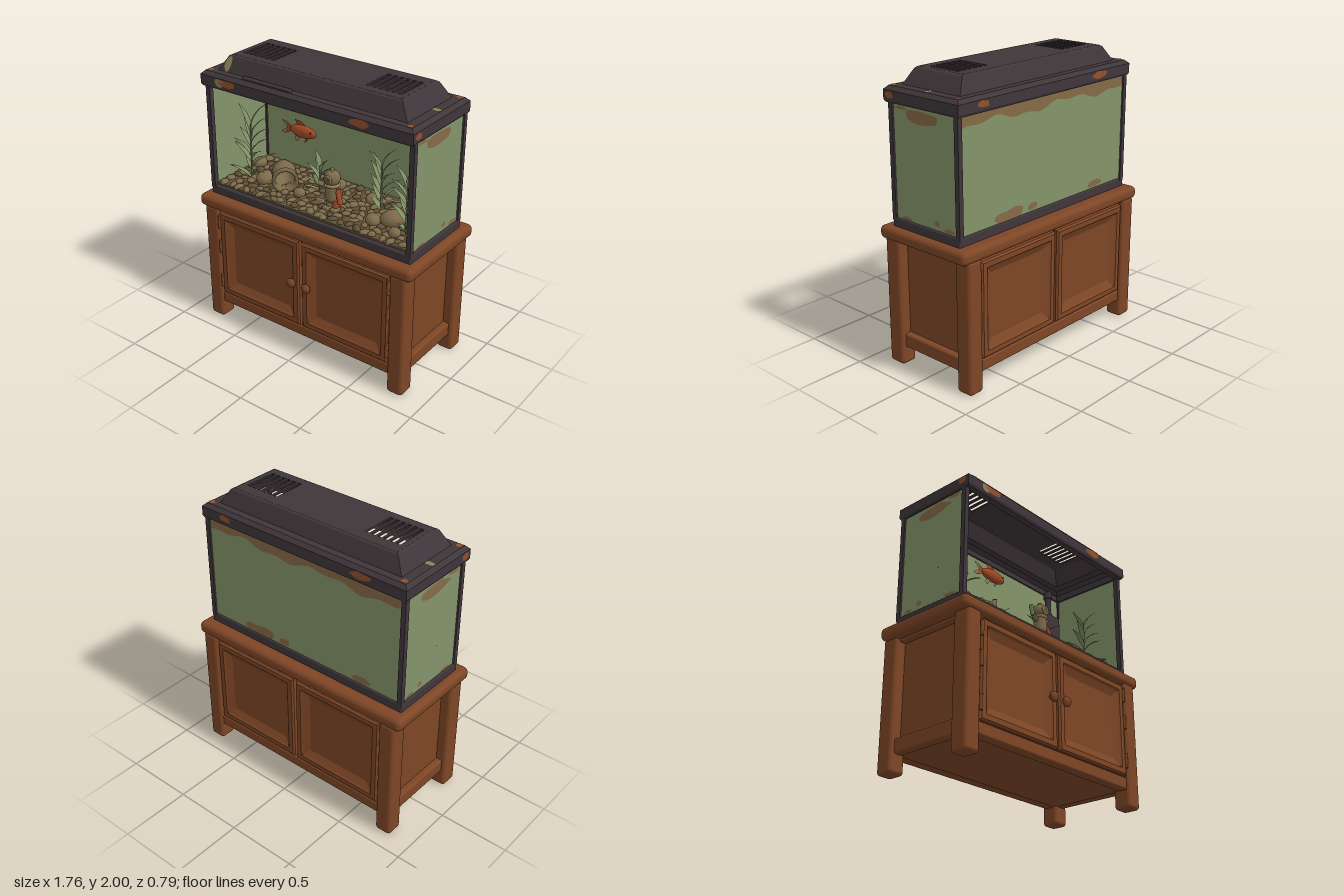
import * as THREE from 'three';
import { mergeGeometries } from 'three/addons/utils/BufferGeometryUtils.js';
import { RoundedBoxGeometry } from 'three/addons/geometries/RoundedBoxGeometry.js';

const mat = (name, color, side = THREE.FrontSide) => {
  const m = new THREE.MeshStandardMaterial({ color, side });
  m.name = name;
  return m;
};
let seed = 7;
const rnd = (a = 0, b = 1) => {
  seed = (seed * 16807) % 2147483647;
  return a + (b - a) * seed / 2147483647;
};

// Surface through rectangular rings [halfWidth, halfHeight, z], flat shaded
function rectLoft(rings, cap) {
  const p = [];
  const corner = ([w, h, z], j) => [[-w, -h, z], [w, -h, z], [w, h, z], [-w, h, z]][j % 4];
  const quad = (a, b, c, d) => p.push(...a, ...b, ...c, ...a, ...c, ...d);
  for (let i = 0; i + 1 < rings.length; i++)
    for (let j = 0; j < 4; j++)
      quad(corner(rings[i], j), corner(rings[i], j + 1), corner(rings[i + 1], j + 1), corner(rings[i + 1], j));
  if (cap) quad(...[0, 1, 2, 3].map(j => corner(rings[rings.length - 1], j)));
  const g = new THREE.BufferGeometry();
  g.setAttribute('position', new THREE.Float32BufferAttribute(p, 3));
  g.computeVertexNormals();
  return g;
}

// Irregular flat patch
function blob(w, h) {
  const pts = [];
  for (let i = 0; i < 10; i++) {
    const a = i / 10 * Math.PI * 2, r = rnd(0.75, 1.1);
    pts.push(new THREE.Vector2(Math.cos(a) * r * w / 2, Math.sin(a) * r * h / 2));
  }
  return new THREE.ShapeGeometry(new THREE.Shape(new THREE.SplineCurve([...pts, pts[0]]).getPoints(30)));
}

// Pointed leaf growing along +y and drooping towards +z
function leafGeometry(len, width, droop) {
  const g = new THREE.PlaneGeometry(1, 1, 2, 7).translate(0, 0.5, 0);
  const p = g.attributes.position;
  for (let i = 0; i < p.count; i++) {
    const t = p.getY(i), x = p.getX(i) * width * (0.1 + Math.sin(Math.PI * Math.pow(t, 0.8)));
    p.setXYZ(i, x, t * len * (1 - 0.25 * droop * t), droop * len * t * t - Math.abs(x) * 0.3);
  }
  g.computeVertexNormals();
  return g;
}

export function createModel() {
  const wood = mat('wood', 0x7e4626);
  const plastic = mat('dark plastic', 0x3f363a, THREE.DoubleSide);
  const glass = mat('algae green glass', 0x84946a, THREE.DoubleSide);
  const leafMat = mat('leaf green', 0x7c8c62, THREE.DoubleSide);
  const gravel = mat('gravel', 0x5f5138);
  const stone = mat('stone', 0x7d6b4a, THREE.DoubleSide);
  const rust = mat('rust', 0x95502a);
  const tan = mat('worn tan', 0x8f8058, THREE.DoubleSide);
  const stain = mat('brown stain', 0x866a48);
  const orange = mat('fish orange', 0xa24a24, THREE.DoubleSide);

  const root = new THREE.Group();
  const add = (name, geo, m, x = 0, y = 0, z = 0, parent = root) => {
    const o = new THREE.Mesh(geo, m);
    o.name = name;
    o.position.set(x, y, z);
    parent.add(o);
    return o;
  };
  const group = (name, x, y, z, parent = root) => {
    const g = new THREE.Group();
    g.name = name;
    g.position.set(x, y, z);
    parent.add(g);
    return g;
  };
  // Rounded box given by its limits
  const block = (name, m, x0, x1, y0, y1, z0, z1, r = 0.015) =>
    add(name, new RoundedBoxGeometry(x1 - x0, y1 - y0, z1 - z0, 3, r), m, (x0 + x1) / 2, (y0 + y1) / 2, (z0 + z1) / 2);

  // Cabinet
  block('cabinetTop', wood, -0.88, 0.88, 0.89, 0.98, -0.39, 0.38, 0.035);
  block('cabinetBody', wood, -0.765, 0.765, 0.13, 0.9, -0.34, 0.325);
  for (const s of [-1, 1]) {
    const [a, b] = s < 0 ? [-0.84, -0.72] : [0.72, 0.84];
    block('frontLeg', wood, a, b, 0, 0.91, 0.24, 0.37, 0.025);
    block('backLeg', wood, a, b, 0, 0.91, -0.39, -0.265, 0.025);
    const [c, d] = s < 0 ? [-0.81, -0.74] : [0.74, 0.81];
    block('sideRail', wood, c, d, 0.125, 0.225, -0.3, 0.28);
    block('sideTopRail', wood, c, d, 0.87, 0.9, -0.3, 0.28, 0.01);
  }
  block('frontRail', wood, -0.75, 0.75, 0.125, 0.21, 0.27, 0.35);
  block('backRail', wood, -0.75, 0.75, 0.125, 0.21, -0.37, -0.29);

  // Doors with recessed panels, front and back
  const door = rectLoft([[0.352, 0.332, 0], [0.352, 0.332, 0.025], [0.34, 0.32, 0.038],
    [0.305, 0.285, 0.038], [0.292, 0.272, 0.028], [0.245, 0.225, 0.006]], true);
  for (const s of [-1, 1]) {
    add('frontDoor', door, wood, s * 0.362, 0.545, 0.325);
    add('backPanel', door, wood, s * 0.362, 0.545, -0.34).rotation.y = Math.PI;
    const knob = new THREE.LatheGeometry([[0, -0.03], [0.016, -0.03], [0.016, 0], [0.032, 0.008], [0.035, 0.02],
      [0.024, 0.035], [0, 0.04]].map(q => new THREE.Vector2(...q)), 20);
    add('knob', knob, wood, s * 0.063, 0.55, 0.362).rotation.x = Math.PI / 2;
    for (const y of [0.32, 0.6, 0.8])
      add('hinge', new THREE.CylinderGeometry(0.012, 0.012, 0.1, 10), wood, s * 0.712, y, 0.362);
  }

  // Tank frame and walls, open towards the front
  block('tankBase', plastic, -0.825, 0.825, 0.97, 1.04, -0.3, 0.3, 0.01);
  for (const x of [-0.807, 0.807]) {
    for (const z of [-0.285, 0.285])
      add('cornerPost', new THREE.BoxGeometry(0.034, 0.78, 0.034), plastic, x, 1.41, z);
    add('sideGlass', new THREE.BoxGeometry(0.01, 0.77, 0.55), glass, x, 1.41, 0);
  }
  add('backGlass', new THREE.BoxGeometry(1.6, 0.77, 0.01), glass, 0, 1.41, -0.285);

  // Hollow lid with raised hood and two slotted vents
  const lid = rectLoft([[0.785, 0.275, 1.785], [0.822, 0.317, 1.785], [0.832, 0.325, 1.8], [0.832, 0.325, 1.865],
    [0.805, 0.3, 1.89], [0.74, 0.25, 1.89], [0.675, 0.205, 1.99], [0.655, 0.19, 2]]);
  add('lid', lid, plastic, 0, 0, 0.01).rotation.x = -Math.PI / 2;
  const rect = (C, x0, x1, y0, y1) => new C([[x0, y0], [x1, y0], [x1, y1], [x0, y1]].map(q => new THREE.Vector2(...q)));
  const topShape = rect(THREE.Shape, -0.656, 0.656, -0.191, 0.191);
  for (const x0 of [-0.62, 0.36])
    for (let i = 0; i < 6; i++)
      topShape.holes.push(rect(THREE.Path, x0 + i * 0.046, x0 + i * 0.046 + 0.029, -0.13, 0.11));
  add('ventedTop', new THREE.ExtrudeGeometry(topShape, { depth: 0.012, bevelEnabled: false }), plastic, 0, 1.988, 0.01)
    .rotation.x = -Math.PI / 2;
  block('lidLip', plastic, -0.5, -0.1, 1.885, 1.905, 0.27, 0.3, 0.008);

  // Worn patches on the lid
  const patch = (name, m, w, h, x, y, z, rx = 0, ry = 0, rz = 0) =>
    add(name, blob(w, h), m, x, y, z).rotation.set(rx, ry, rz);
  const up = -Math.PI / 2;
  patch('rustPatch', rust, 0.16, 0.05, -0.6, 1.84, 0.338);
  patch('rustPatch', rust, 0.15, 0.06, 0.45, 1.838, 0.338);
  patch('tanPatch', tan, 0.07, 0.06, -0.67, 1.835, 0.338);
  patch('tanPatch', tan, 0.06, 0.11, -0.665, 1.942, 0.241, -0.42, 0, -0.2);
  for (const sx of [-1, 1]) {
    for (const z of [-0.265, 0.285]) patch('cornerRust', rust, 0.05, 0.04, sx * 0.78, 1.893, z, up);
    patch('tanPatch', tan, 0.07, 0.04, sx * 0.772, 1.893, -0.01, up);
    patch('rustPatch', rust, 0.07, 0.05, sx * 0.835, 1.835, 0.28, 0, sx * Math.PI / 2);
  }
  patch('rustPatch', rust, 0.16, 0.055, -0.5, 1.838, -0.318, 0, Math.PI);
  patch('rustPatch', rust, 0.1, 0.05, 0.62, 1.838, -0.318, 0, Math.PI);

  // Stains on the outside of the glass
  const band = new THREE.Shape();
  band.moveTo(-0.78, 1.785);
  for (let i = 0; i <= 40; i++) {
    const x = -0.78 + i * 0.039;
    band.lineTo(x, 1.715 + 0.018 * Math.sin(x * 9) + 0.012 * Math.sin(x * 23));
  }
  band.lineTo(0.78, 1.785);
  add('backStainBand', new THREE.ShapeGeometry(band), stain, 0, 0, -0.293).rotation.y = Math.PI;
  for (const [x, w, h] of [[0.36, 0.28, 0.08], [0.15, 0.1, 0.05], [-0.5, 0.16, 0.05]])
    patch('backStain', stain, w, h, x, 1.075, -0.293, 0, Math.PI);
  for (const s of [-1, 1])
    for (const [z, y, w, h] of [[0.01, 1.73, 0.31, 0.09], [0.2, 1.765, 0.12, 0.025], [-0.1, 1.085, 0.05, 0.04], [0.17, 1.055, 0.1, 0.025], [-0.2, 1.06, 0.09, 0.03]])
      patch('sideStain', stain, w, h, s * 0.815, y, z, 0, s * Math.PI / 2);

  // Gravel bed with scattered stones
  add('gravelBed', new THREE.BoxGeometry(1.59, 0.03, 0.55), gravel, 0, 1.04, 0);
  const pebbles = [[], []];
  const pebble = (x, y, z, sx, sy, sz, k) => pebbles[k].push(new THREE.IcosahedronGeometry(1, 1)
    .scale(sx, sy, sz).rotateY(rnd(0, 3)).rotateZ(rnd(-0.15, 0.15)).translate(x, y, z));
  for (let i = 0; i < 25; i++)
    for (let j = 0; j < 9; j++)
      pebble(-0.75 + i * 0.0625 + rnd(-0.02, 0.02), 1.055, -0.23 + j * 0.058 + rnd(-0.015, 0.015),
        rnd(0.025, 0.045), rnd(0.012, 0.026), rnd(0.02, 0.035), rnd() < 0.25 ? 0 : 1);
  for (const [x, z, r] of [[-0.52, 0.08, 0.075], [-0.72, -0.1, 0.06], [-0.2, 0.1, 0.05], [0.53, 0.05, 0.09], [0.42, 0.12, 0.06],
    [0.7, -0.1, 0.07], [-0.05, -0.15, 0.06], [0.25, -0.12, 0.055], [0.62, 0.17, 0.05]])
    pebble(x, 1.06 + r * 0.4, z, r, r * 0.7, r * 0.85, 1);
  pebbles.forEach((list, k) => add(k ? 'lightStones' : 'darkStones', mergeGeometries(list), k ? stone : gravel));

  // Tipped jar
  const jar = [[0, -0.15], [0.055, -0.15], [0.085, -0.06], [0.088, 0.02], [0.076, 0.06], [0.092, 0.07], [0.092, 0.095],
    [0.07, 0.095], [0.065, 0.05], [0.075, 0], [0.05, -0.13], [0, -0.13]].map(q => new THREE.Vector2(...q));
  add('jar', new THREE.LatheGeometry(jar, 28), stone, -0.38, 1.135, 0.04).rotation.set(Math.PI / 2, 0, -0.75);

  // Plants: stem with paired leaves
  const plant = (x, z, height, n, len) => {
    const g = group('plant', x, 1.05, z);
    add('stem', new THREE.CylinderGeometry(0.004, 0.008, height * 0.75, 6), leafMat, 0, height * 0.375, 0, g);
    for (let i = 0; i < n; i++) {
      const t = i / (n - 1);
      const leaf = add('leaf', leafGeometry(len * rnd(0.85, 1.1), 0.036, 0.4), leafMat, 0, t * height * 0.7, 0, g);
      leaf.rotation.order = 'YXZ';
      leaf.rotation.set(0.75 - 0.6 * t, (i % 2 ? 1 : -1) * 1.57 + rnd(-0.75, 0.75), 0);
    }
  };
  plant(-0.64, 0.08, 0.55, 14, 0.2);
  plant(-0.13, -0.04, 0.25, 9, 0.15);
  plant(0.36, -0.06, 0.45, 12, 0.19);
  plant(0.65, 0.08, 0.47, 12, 0.18);

  // Fish
  const fish = group('fish', -0.24, 1.485, 0);
  add('fishBody', new THREE.SphereGeometry(1, 24, 16).scale(0.11, 0.045, 0.03), orange, 0, 0, 0, fish);
  const fin = (name, m, pts) => add(name, new THREE.ShapeGeometry(
    new THREE.Shape(pts.map(q => new THREE.Vector2(...q)))), m, 0, 0, 0, fish);
  fin('tailFin', orange, [[-0.09, 0.012], [-0.15, 0.045], [-0.135, 0], [-0.16, -0.05], [-0.09, -0.014]]);
  fin('tailTipTop', tan, [[-0.15, 0.045], [-0.185, 0.045], [-0.135, 0]]);
  fin('tailTipBottom', tan, [[-0.135, 0], [-0.19, -0.04], [-0.16, -0.05]]);
  fin('topFin', orange, [[-0.05, 0.035], [0.03, 0.04], [-0.02, 0.072], [-0.07, 0.075]]);
  fin('bellyFin', tan, [[-0.06, -0.03], [-0.02, -0.04], [-0.055, -0.085], [-0.075, -0.07]]);
  fin('chestFin', orange, [[0.02, -0.035], [0.05, -0.035], [0.01, -0.08]]);
  for (const s of [-1, 1]) add('eye', new THREE.SphereGeometry(0.007, 10, 8), plastic, 0.075, 0.012, s * 0.02, fish);

  // Diver ornament
  const diver = group('diver', 0.1, 1.06, 0.13);
  const limb = (name, m, r, a, b) => add(name, new THREE.TubeGeometry(
    new THREE.LineCurve3(new THREE.Vector3(...a), new THREE.Vector3(...b)), 1, r, 10), m, 0, 0, 0, diver);
  for (const s of [-1, 1]) {
    limb('leg', s > 0 ? orange : stone, 0.022, [s * 0.028, 0, 0], [s * 0.026, 0.09, 0]);
    add('boot', new RoundedBoxGeometry(0.05, 0.03, 0.07, 2, 0.01), stone, s * 0.032, 0.012, 0.012, diver);
  }
  add('torso', new THREE.CapsuleGeometry(0.046, 0.06, 6, 14), stone, 0, 0.13, 0, diver);
  add('collar', new THREE.TorusGeometry(0.044, 0.012, 8, 20), tan, 0, 0.188, 0, diver).rotation.x = Math.PI / 2;
  add('helmet', new THREE.SphereGeometry(0.056, 20, 14), stone, 0, 0.235, 0, diver);
  add('helmetCap', new THREE.CylinderGeometry(0.014, 0.018, 0.02, 10), tan, 0, 0.292, 0, diver);
  add('helmetWindow', new THREE.TorusGeometry(0.026, 0.007, 8, 18), tan, 0, 0.235, 0.05, diver);
  add('windowPane', new THREE.CircleGeometry(0.025, 18), gravel, 0, 0.235, 0.057, diver);
  limb('raisedArm', stone, 0.017, [-0.04, 0.16, 0], [-0.1, 0.18, 0.02]);
  limb('raisedForearm', leafMat, 0.015, [-0.1, 0.17, 0.02], [-0.13, 0.235, 0.03]);
  limb('loweredArm', orange, 0.018, [0.045, 0.165, 0], [0.08, 0.07, 0.02]);

  // Hanging filter
  block('filterBody', plastic, 0.53, 0.69, 1.33, 1.57, -0.27, -0.17);
  add('filterNeck', new THREE.CylinderGeometry(0.022, 0.04, 0.05, 16), plastic, 0.61, 1.59, -0.22);
  add('filterTube', new THREE.CylinderGeometry(0.024, 0.024, 0.2, 16), plastic, 0.61, 1.68, -0.22);
  add('filterCollar', new THREE.CylinderGeometry(0.032, 0.032, 0.04, 16), plastic, 0.61, 1.74, -0.22);
  patch('filterWear', tan, 0.09, 0.05, 0.6, 1.36, -0.167);
  return root;
}
